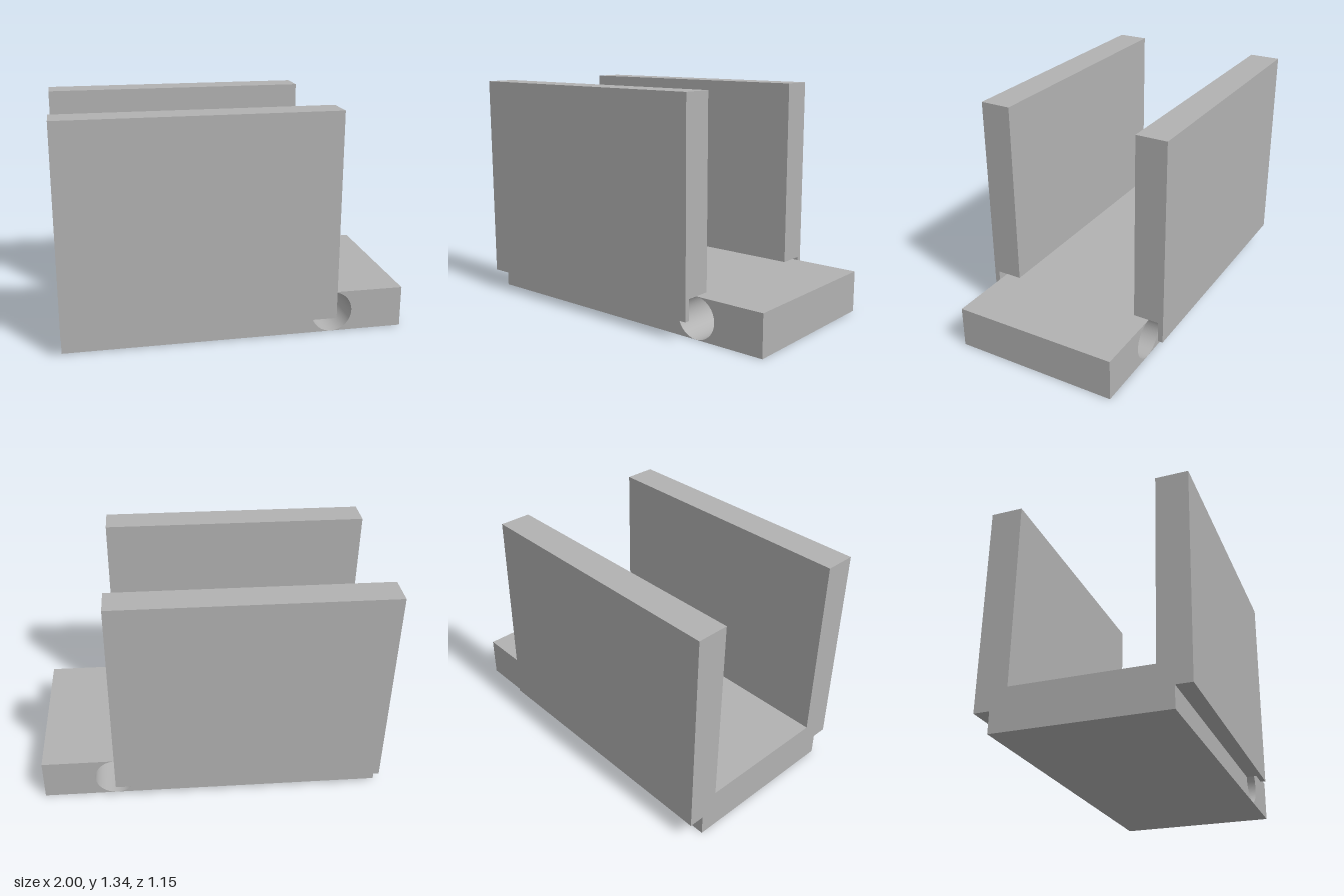
import * as THREE from 'three';

const LEFT = -1, RIGHT = 1;      // base ends in x
const WALL_END = 0.572;          // wall end, also the pin hole centre
const BASE_TOP = 0.244, MID = 0.122, TOP = 1.335, R = 0.1215;
const HOLE_END = 0.185, BASE_SIDE = 0.486, NOTCH_END = 0.546, WALL_IN = 0.394, WALL_OUT = 0.576;

function rectShape(x0, y0, x1, y1) {
  return new THREE.Shape([
    new THREE.Vector2(x0, y0), new THREE.Vector2(x1, y0),
    new THREE.Vector2(x1, y1), new THREE.Vector2(x0, y1),
  ]);
}

export function createModel() {
  const model = new THREE.Group();
  model.name = 'channelBracket';
  const grey = new THREE.MeshStandardMaterial({ color: 0xb2b2b2 });
  grey.name = 'plainGrey';

  // Extrudes an x-y profile between two distances from the centre plane, on one side
  function slab(name, shape, zIn, zOut, side) {
    const geo = new THREE.ExtrudeGeometry(shape, {
      depth: zOut - zIn, bevelEnabled: false, curveSegments: 64,
    });
    geo.translate(0, 0, side > 0 ? zIn : -zOut);
    const mesh = new THREE.Mesh(geo, grey);
    mesh.name = name;
    model.add(mesh);
  }

  // Solid middle of the base
  const core = new THREE.Mesh(new THREE.BoxGeometry(RIGHT - LEFT, BASE_TOP, HOLE_END * 2), grey);
  core.name = 'baseCore';
  core.position.y = BASE_TOP / 2;
  model.add(core);

  // Base flank profile with the blind pin hole
  const flank = rectShape(LEFT, 0, RIGHT, BASE_TOP);
  const hole = new THREE.Path();
  hole.absarc(WALL_END, MID, R, 0, Math.PI * 2, true);
  flank.holes.push(hole);

  // Wall profile with a quarter-round notch in its lower end corner
  const notched = new THREE.Shape();
  notched.moveTo(LEFT, MID);
  notched.lineTo(WALL_END - R, MID);
  notched.absarc(WALL_END, MID, R, Math.PI, Math.PI / 2, true);
  notched.lineTo(WALL_END, TOP);
  notched.lineTo(LEFT, TOP);
  notched.closePath();

  for (const [label, side] of [['front', 1], ['back', -1]]) {
    slab(label + 'BaseFlank', flank, HOLE_END, BASE_SIDE, side);
    slab(label + 'WallInner', rectShape(LEFT, BASE_TOP, WALL_END, TOP), WALL_IN, BASE_SIDE, side);
    slab(label + 'WallNotched', notched, BASE_SIDE, NOTCH_END, side);
    slab(label + 'WallOuter', rectShape(LEFT, MID, WALL_END, TOP), NOTCH_END, WALL_OUT, side);
  }
  return model;
}
